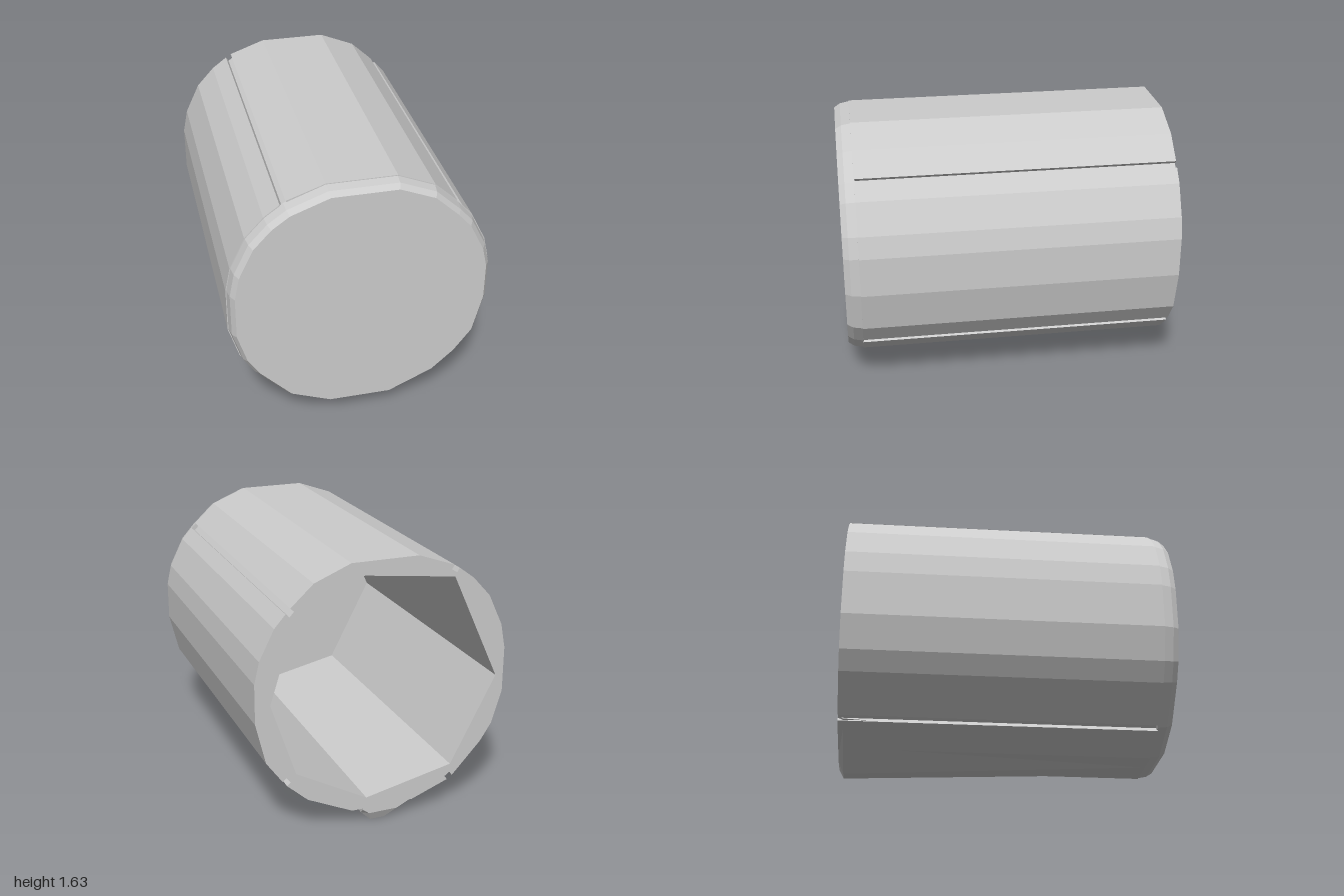
import * as THREE from 'three';

const CY = 0.86; // height of the barrel axis

// Outer cross-section, counter-clockwise from +z, relative to the axis.
// A third value of 1 marks a corner cut by a lengthwise groove.
const OUTLINE = [
  [0.78, -0.1], [0.78, 0.14], [0.75, 0.27], [0.66, 0.45], [0.58, 0.54, 1], [0.43, 0.68], [0.21, 0.77],
  [-0.2, 0.77], [-0.44, 0.68, 1], [-0.55, 0.6], [-0.66, 0.48], [-0.75, 0.29], [-0.78, 0.14],
  [-0.78, -0.14], [-0.72, -0.34], [-0.65, -0.45], [-0.45, -0.66, 1], [-0.2, -0.76],
  [0.19, -0.76], [0.47, -0.63], [0.61, -0.5, 1], [0.72, -0.35],
];

// Faceted eight-sided bore
const BORE = [
  [0.69, 0], [0.54, 0.48], [0.13, 0.69], [-0.43, 0.62],
  [-0.73, -0.03], [-0.45, -0.57], [0.1, -0.69], [0.54, -0.45],
];

function material() {
  return new THREE.MeshStandardMaterial({ color: 0xcccccc, flatShading: true });
}

// Closed solid through rings of [x, y, z], ordered from low z to high z
function loft(rings) {
  const n = rings[0].length;
  const pos = [];
  const tri = (a, b, c) => pos.push(...a, ...b, ...c);
  const centre = (r) => [0, 1, 2].map((k) => r.reduce((s, p) => s + p[k], 0) / n);
  const back = centre(rings[0]);
  const front = centre(rings[rings.length - 1]);
  for (let j = 0; j < n; j++) {
    const k = (j + 1) % n;
    for (let i = 0; i + 1 < rings.length; i++) {
      const a = rings[i], b = rings[i + 1];
      tri(a[j], a[k], b[k]);
      tri(a[j], b[k], b[j]);
    }
    tri(back, rings[0][k], rings[0][j]);
    tri(front, rings[rings.length - 1][j], rings[rings.length - 1][k]);
  }
  const g = new THREE.BufferGeometry();
  g.setAttribute('position', new THREE.Float32BufferAttribute(pos, 3));
  g.computeVertexNormals();
  return g;
}

// Replace marked corners with a narrow square notch
function groovedOutline() {
  const points = [];
  const half = 0.02, depth = 0.03;
  for (const [x, y, groove] of OUTLINE) {
    if (!groove) {
      points.push(new THREE.Vector2(x, y));
      continue;
    }
    const r = new THREE.Vector2(x, y).normalize();
    const t = new THREE.Vector2(-r.y, r.x);
    for (const [side, inward] of [[-1, 0], [-1, depth], [1, depth], [1, 0]]) {
      points.push(new THREE.Vector2(x, y).addScaledVector(t, side * half).addScaledVector(r, -inward));
    }
  }
  return points;
}

export function createModel() {
  const model = new THREE.Group();
  const add = (name, geometry) => {
    const mesh = new THREE.Mesh(geometry, material());
    mesh.name = name;
    model.add(mesh);
    return mesh;
  };

  // Hollow barrel, open at the back
  const section = new THREE.Shape(groovedOutline());
  section.holes.push(new THREE.Path(BORE.map(([x, y]) => new THREE.Vector2(x, y))));
  const barrel = add('barrel', new THREE.ExtrudeGeometry(section, { depth: 1.91, bevelEnabled: false }));
  barrel.position.set(0, CY, -1);

  // Closed front end with a chamfered edge
  const capRing = (z, s) => OUTLINE.map(([x, y]) => [x * s, CY + y * s, z]);
  add('endCap', loft([capRing(0.905, 0.995), capRing(0.965, 0.98), capRing(1, 0.95)]));

  // Tapered ridge underneath, deepest near the open end
  const ridgeRing = (z, pts) => pts.map(([x, y]) => [x, y, z]);
  add('bottomRidge', loft([
    ridgeRing(-1, [[-0.43, 0.22], [-0.1, 0.06], [0.08, 0.06], [0.12, 0.09], [0.12, 0.15]]),
    ridgeRing(-0.97, [[-0.44, 0.2], [-0.03, 0], [0.06, 0], [0.12, 0.06], [0.12, 0.15]]),
    ridgeRing(0.9, [[-0.3, 0.16], [-0.03, 0.1], [0.06, 0.1], [0.12, 0.102], [0.12, 0.15]]),
  ]));

  return model;
}
